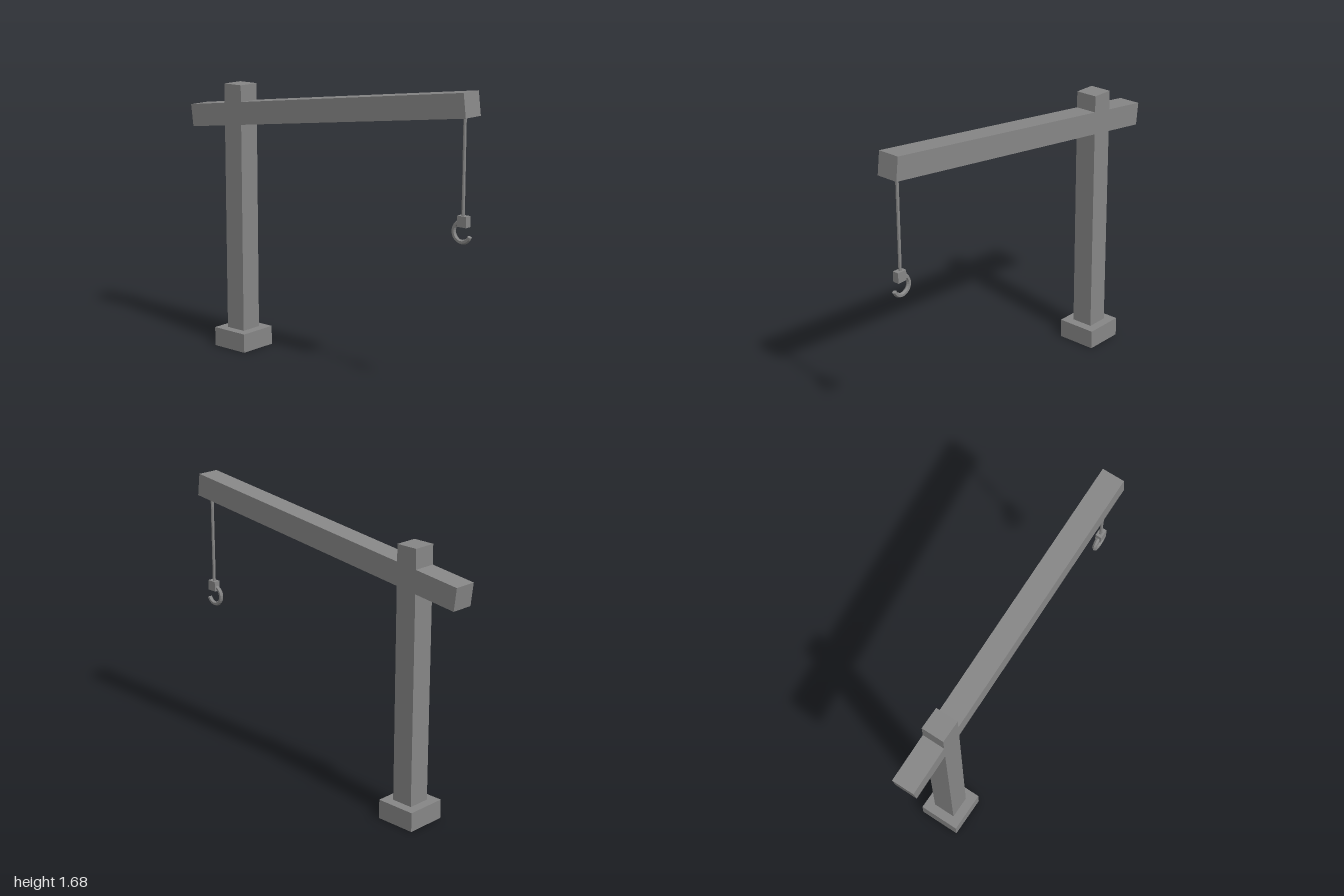
import * as THREE from 'three';

const material = new THREE.MeshStandardMaterial({ color: 0x868686, flatShading: true });

export function createModel() {
  const crane = new THREE.Group();
  crane.name = 'hoistCrane';

  const add = (name, geometry, x, y, z = 0, parent = crane) => {
    const mesh = new THREE.Mesh(geometry, material);
    mesh.name = name;
    mesh.position.set(x, y, z);
    parent.add(mesh);
    return mesh;
  };

  // Foot and upright post
  const postX = -0.655;
  add('base', new THREE.BoxGeometry(0.24, 0.113, 0.241), postX, 0.0565);
  add('post', new THREE.BoxGeometry(0.131, 1.475, 0.133), postX, 0.8475);

  // Sloping boom that passes through the post
  const boom = add('boom', new THREE.BoxGeometry(1.999, 0.132, 0.133), 0, 1.495);
  boom.rotation.z = 0.1237;

  // Hoist: rope, block and open hook hanging from the boom tip
  const hoist = new THREE.Group();
  hoist.name = 'hoist';
  hoist.position.set(0.941, 0, -0.01);
  crane.add(hoist);

  const ropeTop = 1.57, ropeBottom = 1.0;
  add('rope', new THREE.CylinderGeometry(0.009, 0.009, ropeTop - ropeBottom, 8),
    0, (ropeTop + ropeBottom) / 2, 0, hoist);
  add('hookBlock', new THREE.BoxGeometry(0.059, 0.06, 0.038), 0.004, 0.995, 0, hoist);

  // The hook starts inside the block and curls round to an open tip
  const ringRadius = 0.054, tubeRadius = 0.013, arc = Math.PI * 1.5;
  const hook = new THREE.Group();
  hook.name = 'hook';
  hook.position.set(-0.005, 0.936, 0);
  hook.rotation.z = 1.19;
  hoist.add(hook);
  add('hookCurl', new THREE.TorusGeometry(ringRadius, tubeRadius, 6, 18, arc), 0, 0, 0, hook);

  // Cap facing along the end tangent of the curl
  const radial = new THREE.Vector3(Math.cos(arc), Math.sin(arc), 0);
  const tangent = new THREE.Vector3(-Math.sin(arc), Math.cos(arc), 0);
  const tip = add('hookTip', new THREE.CircleGeometry(tubeRadius, 6),
    ringRadius * radial.x, ringRadius * radial.y, 0, hook);
  tip.quaternion.setFromRotationMatrix(
    new THREE.Matrix4().makeBasis(radial, new THREE.Vector3(0, 0, -1), tangent));

  return crane;
}
